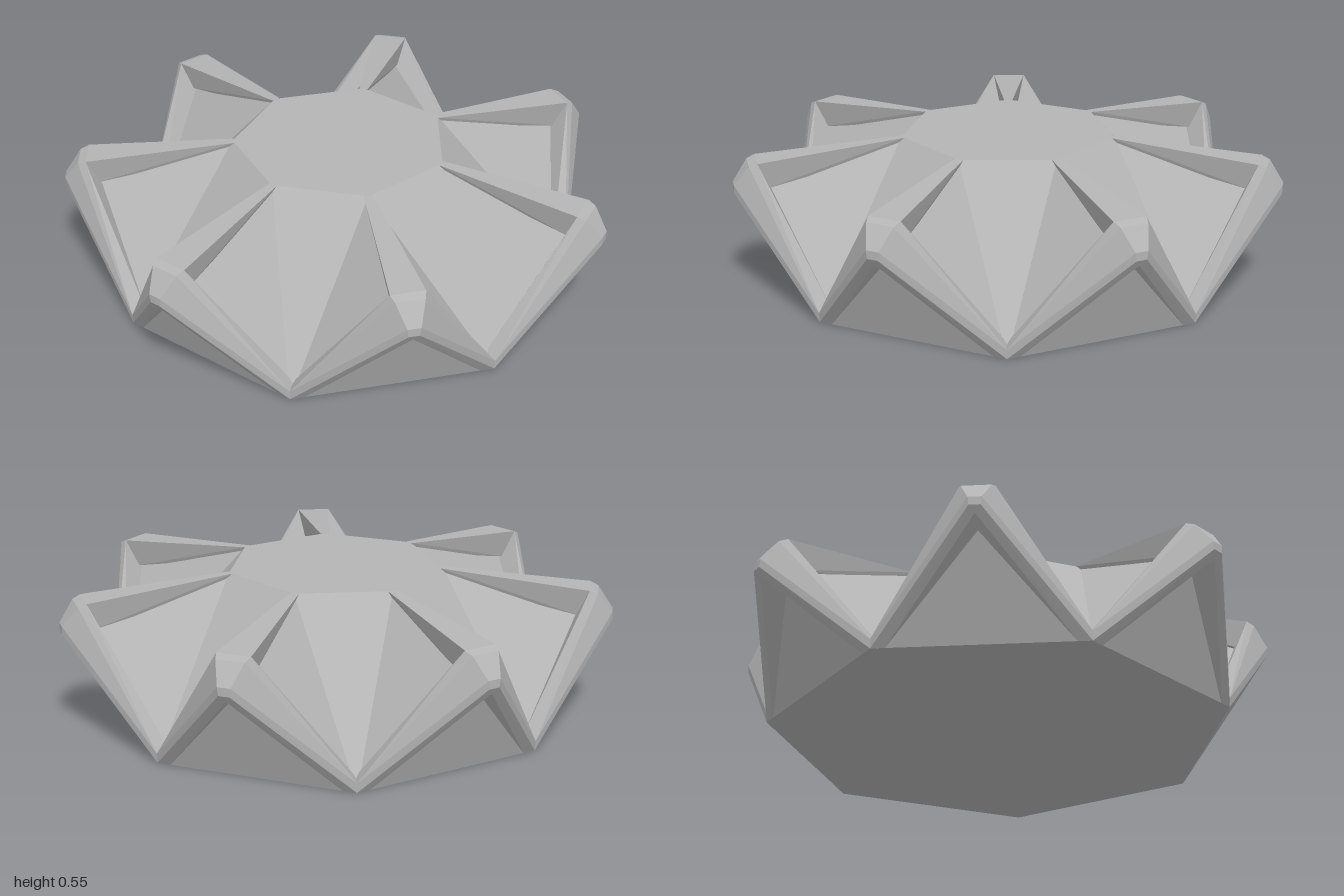
import * as THREE from 'three';
import { ConvexGeometry } from 'three/addons/geometries/ConvexGeometry.js';

const SIDES = 7;
const STEP = (Math.PI * 2) / SIDES;

// Point at radius r, height y and sideways offset t from the ray at the given angle
function polar(angle, r, y, t = 0) {
  const c = Math.cos(angle), s = Math.sin(angle);
  return new THREE.Vector3(r * c - t * s, y, r * s + t * c);
}

// Faceted star body: flat top, flat base, sunken panels between the beams
function coreGeometry() {
  const top = i => polar(i * STEP, 0.4, 0.55);
  const tip = i => polar(i * STEP, 0.925, 0.425);
  const valley = i => polar((i + 0.5) * STEP, 0.85, 0);
  const topMid = new THREE.Vector3(0, 0.55, 0);
  const baseMid = new THREE.Vector3(0, 0, 0);
  const pts = [];
  for (let i = 0; i < SIDES; i++) {
    pts.push(
      topMid, top(i + 1), top(i),             // top
      top(i), top(i + 1), valley(i),          // facet running down to the valley
      top(i), valley(i), tip(i),              // side panels
      valley(i), top(i + 1), tip(i + 1),
      tip(i), valley(i), valley(i - 1),       // outer panel
      valley(i - 1), valley(i), baseMid       // base
    );
  }
  const g = new THREE.BufferGeometry().setFromPoints(pts);
  g.computeVertexNormals();
  return g;
}

// Blunt end shared by the beams that meet at a point
function tipBlock() {
  const pts = [];
  for (const s of [-1, 1]) {
    pts.push(
      polar(0, 0.935, 0.502, s * 0.062),
      polar(0, 0.965, 0.49, s * 0.052),
      polar(0, 1.02, 0.415, s * 0.024),
      polar(0, 1.02, 0.385, s * 0.02),
      polar(0, 0.9, 0.4, s * 0.04)
    );
  }
  return pts;
}

export function createModel() {
  const model = new THREE.Group();
  model.name = 'starCrystal';
  const grey = new THREE.MeshStandardMaterial({ color: 0xb4b4b4, flatShading: true });
  grey.name = 'grey';

  const star = new THREE.Group();
  star.name = 'star';
  star.position.x = -0.05;
  model.add(star);

  const add = (parent, geometry, name) => {
    const mesh = new THREE.Mesh(geometry, grey);
    mesh.name = name;
    parent.add(mesh);
  };
  add(star, coreGeometry(), 'body');

  // Tapered ridge from the top to a point
  const ridge = new ConvexGeometry([
    ...tipBlock(),
    polar(0, 0.395, 0.55, 0.016), polar(0, 0.395, 0.55, -0.016), polar(0, 0.42, 0.5)
  ]);
  // Tapered legs from a point down to the valleys on either side
  const legs = [-1, 1].map(s => {
    const a = s * STEP / 2;
    return new ConvexGeometry([
      ...tipBlock(),
      polar(a, 0.85, 0), polar(a, 0.852, 0.035), polar(a, 0.8, 0.04),
      polar(a, 0.83, 0, -s * 0.045)
    ]);
  });

  for (let i = 0; i < SIDES; i++) {
    const point = new THREE.Group();
    point.name = 'point' + (i + 1);
    point.rotation.y = -i * STEP;
    add(point, ridge, 'ridgeBeam');
    legs.forEach(leg => add(point, leg, 'legBeam'));
    star.add(point);
  }
  return model;
}
